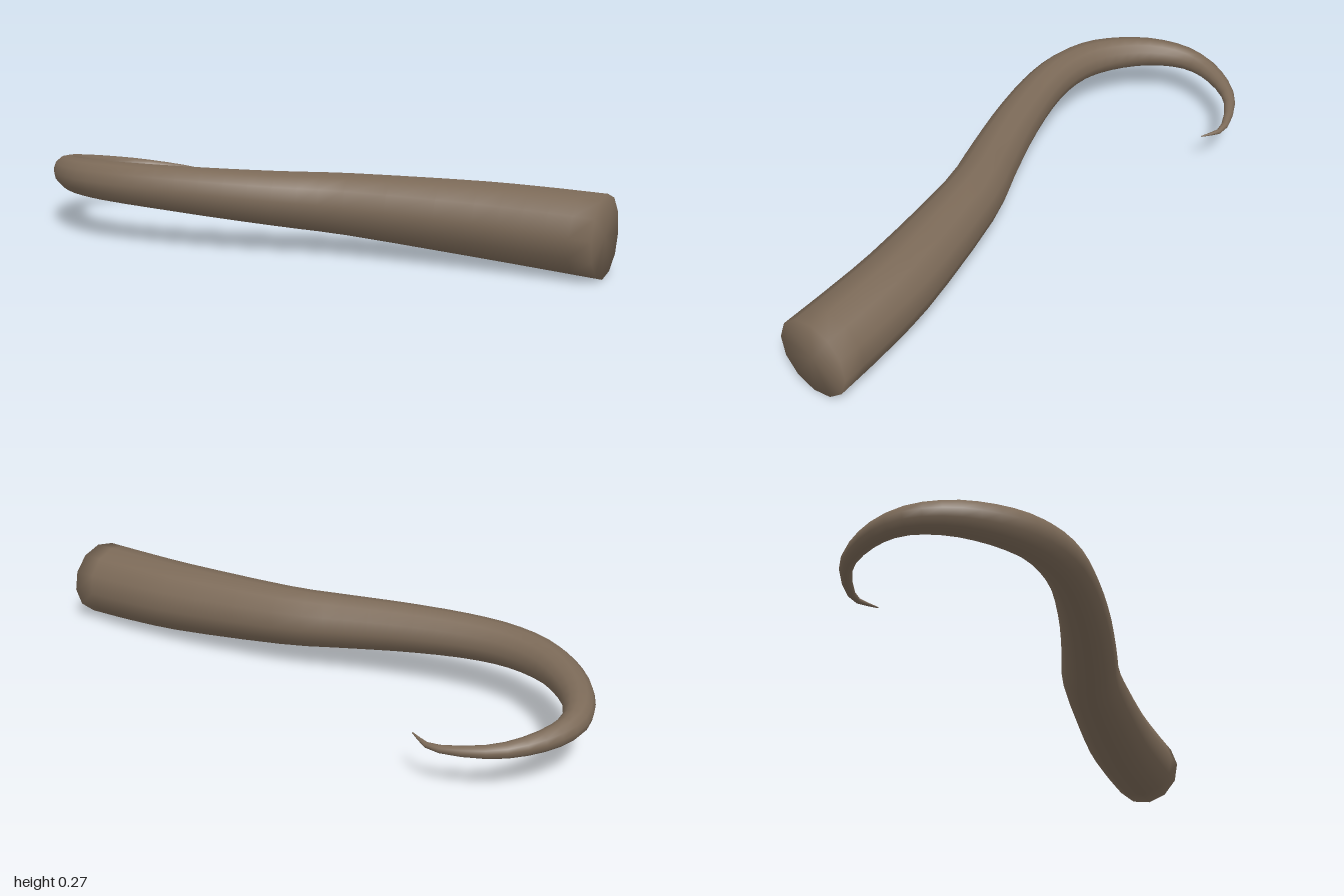
import * as THREE from 'three';

const SIDES = 12;
const RINGS = 40;

// Centre line and thickness from the thick root to the tip: x, y, z, radius
const STATIONS = [
  [1.0, 0.129, -0.05, 0.129],
  [0.8, 0.137, -0.04, 0.125],
  [0.58, 0.146, -0.017, 0.118],
  [0.2, 0.163, 0.058, 0.1],
  [0.0, 0.172, 0.13, 0.09],
  [-0.2, 0.183, 0.2, 0.081],
  [-0.4, 0.193, 0.253, 0.073],
  [-0.56, 0.197, 0.272, 0.068],
  [-0.7, 0.195, 0.252, 0.064],
  [-0.82, 0.19, 0.188, 0.057],
  [-0.913, 0.183, 0.095, 0.049],
  [-0.96, 0.173, -0.02, 0.04],
  [-0.935, 0.161, -0.145, 0.031],
  [-0.85, 0.148, -0.262, 0.021],
  [-0.7, 0.136, -0.331, 0.011],
  [-0.605, 0.14, -0.304, 0.002],
];

// Tapered tube with closed ends and shared normals
function taperedTube() {
  const path = new THREE.CatmullRomCurve3(
    STATIONS.map(([x, y, z]) => new THREE.Vector3(x, y, z)), false, 'catmullrom');
  const thickness = new THREE.CatmullRomCurve3(
    STATIONS.map((s) => new THREE.Vector3(s[3], 0, 0)), false, 'catmullrom');
  const worldUp = new THREE.Vector3(0, 1, 0);
  const positions = [];
  const index = [];

  for (let i = 0; i <= RINGS; i++) {
    const t = i / RINGS;
    const centre = path.getPoint(t);
    const radius = thickness.getPoint(t).x;
    // The root is cut square to x
    const along = i === 0 ? new THREE.Vector3(-1, 0, 0) : path.getTangent(t);
    const side = new THREE.Vector3().crossVectors(along, worldUp).normalize();
    const up = new THREE.Vector3().crossVectors(side, along);
    for (let j = 0; j < SIDES; j++) {
      const a = (j / SIDES) * Math.PI * 2 + 0.08;
      const p = centre.clone()
        .addScaledVector(up, Math.cos(a) * radius)
        .addScaledVector(side, Math.sin(a) * radius);
      positions.push(p.x, p.y, p.z);
    }
  }

  // Skin between rings
  for (let i = 0; i < RINGS; i++) {
    for (let j = 0; j < SIDES; j++) {
      const k = (j + 1) % SIDES;
      const a = i * SIDES + j, b = i * SIDES + k;
      index.push(a, b, a + SIDES, b, b + SIDES, a + SIDES);
    }
  }

  // End caps
  const root = positions.length / 3;
  const tip = root + 1;
  for (const t of [0, 1]) positions.push(...path.getPoint(t).toArray());
  for (let j = 0; j < SIDES; j++) {
    const k = (j + 1) % SIDES;
    const last = RINGS * SIDES;
    index.push(root, k, j, tip, last + j, last + k);
  }

  const geometry = new THREE.BufferGeometry();
  geometry.setAttribute('position', new THREE.Float32BufferAttribute(positions, 3));
  geometry.setIndex(index);
  geometry.computeVertexNormals();
  return geometry;
}

export function createModel() {
  const brown = new THREE.MeshStandardMaterial({ color: 0x7c6a58 });
  brown.name = 'dull brown';

  const tentacle = new THREE.Mesh(taperedTube(), brown);
  tentacle.name = 'curledTentacle';

  const model = new THREE.Group();
  model.name = 'tentacle';
  model.add(tentacle);
  return model;
}
